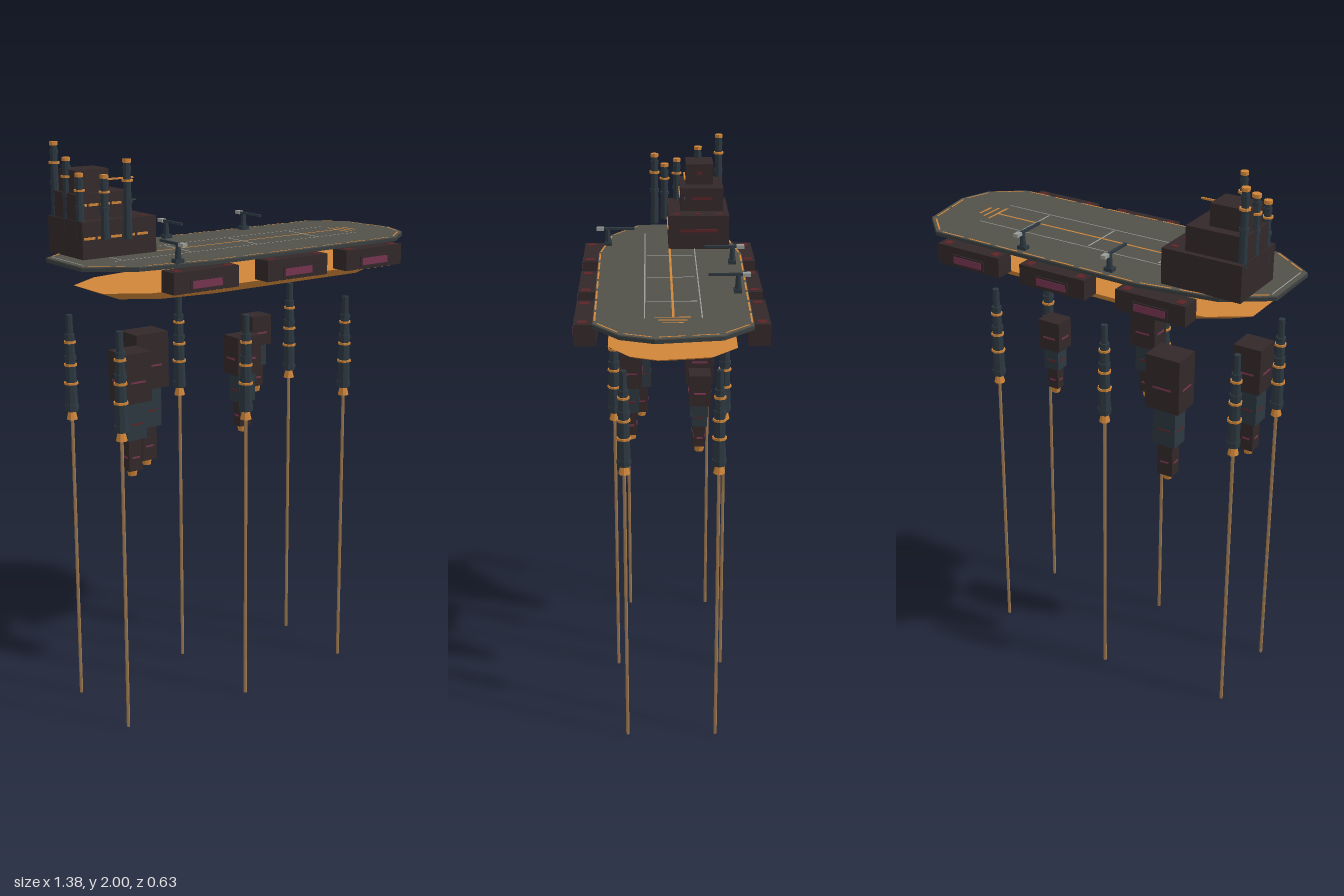
import * as THREE from 'three';

const mat = (name, color) => {
  const m = new THREE.MeshStandardMaterial({ color, flatShading: true });
  m.name = name;
  return m;
};
const M = {
  deck: mat('deck grey', 0x51514a),
  trim: mat('dark trim', 0x3a3e3e),
  block: mat('dark brown', 0x33282a),
  steel: mat('blue steel', 0x2c3840),
  orange: mat('orange', 0xd08538),
  pink: mat('dull magenta', 0x763450),
  red: mat('dark red', 0x5a2428),
  grey: mat('light grey', 0x9a9c98),
  cable: mat('cable brown', 0x9c7850),
};

// Deck outline as [x, z]
const OUTLINE = [[-0.69, -0.115], [-0.54, -0.22], [-0.265, -0.265], [0.56, -0.255], [0.66, -0.155],
  [0.69, 0.055], [0.65, 0.165], [0.54, 0.25], [-0.285, 0.255], [-0.54, 0.215], [-0.69, 0.11]];

function add(parent, name, geo, material, x = 0, y = 0, z = 0) {
  const mesh = new THREE.Mesh(geo, material);
  mesh.name = name;
  mesh.position.set(x, y, z);
  parent.add(mesh);
  return mesh;
}

// Box from its limits
function box(parent, name, material, x0, x1, y0, y1, z0, z1) {
  return add(parent, name, new THREE.BoxGeometry(x1 - x0, y1 - y0, z1 - z0), material,
    (x0 + x1) / 2, (y0 + y1) / 2, (z0 + z1) / 2);
}

// Upright cylinder from y0 to y1
function post(parent, name, material, x, z, y0, y1, r0, r1 = r0, sides = 8) {
  return add(parent, name, new THREE.CylinderGeometry(r1, r0, y1 - y0, sides), material, x, (y0 + y1) / 2, z);
}

// Flat painted strip lying on the deck
function paint(parent, name, material, length, width, x, z, turn = 0) {
  const geo = new THREE.PlaneGeometry(length, width).rotateX(-Math.PI / 2).rotateY(turn);
  return add(parent, name, geo, material, x, 1.6335, z);
}

// Closed slab between two scaled copies of the outline
function slab(y0, y1, bottom, top) {
  const pos = [];
  const p = (i, y, s) => {
    const [x, z] = OUTLINE[i % OUTLINE.length];
    return [x * s[0], y, z * s[1]];
  };
  const b = (i) => p(i, y0, bottom), t = (i) => p(i, y1, top);
  for (let i = 0; i < OUTLINE.length; i++) {
    pos.push(...b(i), ...t(i), ...b(i + 1), ...b(i + 1), ...t(i), ...t(i + 1));
    if (i > 0) pos.push(...t(0), ...t(i + 1), ...t(i), ...b(0), ...b(i), ...b(i + 1));
  }
  const g = new THREE.BufferGeometry();
  g.setAttribute('position', new THREE.Float32BufferAttribute(pos, 3));
  g.computeVertexNormals();
  return g;
}

function makeDeck() {
  const g = new THREE.Group();
  g.name = 'deck';
  add(g, 'deckSlab', slab(1.617, 1.629, [1, 1], [1, 1]), M.trim);
  add(g, 'deckSurface', slab(1.629, 1.632, [0.997, 0.995], [0.997, 0.995]), M.deck);
  add(g, 'lowerHull', slab(1.505, 1.533, [0.77, 0.72], [0.87, 0.82]), M.orange);

  // Painted lines
  const line = (m, x0, x1, z0, z1) => paint(g, 'deckMarking', m, x1 - x0, z1 - z0, (x0 + x1) / 2, (z0 + z1) / 2);
  line(M.orange, -0.33, 0.485, -0.008, 0);
  [[0.48, 0.057], [0.508, 0.046], [0.535, 0.033]].forEach(([x, h]) => line(M.orange, x - 0.004, x + 0.004, -h - 0.002, h - 0.002));
  line(M.grey, -0.33, 0.49, -0.097, -0.093);
  line(M.grey, -0.55, 0.49, 0.085, 0.089);
  [-0.24, 0.037, 0.312].forEach((x) => line(M.grey, x - 0.003, x + 0.003, -0.085, 0.08));
  line(M.grey, -0.521, -0.517, 0, 0.08);
  line(M.grey, -0.672, -0.668, -0.11, 0.095);

  // Dashed orange rim, open at the stern
  for (let i = 0; i < OUTLINE.length - 1; i++) {
    const [a, b] = [OUTLINE[i], OUTLINE[i + 1]].map(([x, z]) => new THREE.Vector2(x * 0.976, z * 0.976));
    const len = a.distanceTo(b), n = Math.max(1, Math.round(len / 0.11));
    for (let k = 0; k < n; k++) {
      const c = a.clone().lerp(b, (k + 0.5) / n);
      paint(g, 'rimDash', M.orange, len / n * 0.8, 0.006, c.x, c.y, -Math.atan2(b.y - a.y, b.x - a.x));
    }
  }
  return g;
}

// Side pod, built facing +z and turned for the far side
function makePod(x, side) {
  const g = new THREE.Group();
  g.name = 'sidePod';
  box(g, 'podBody', M.block, -0.129, 0.129, 1.547, 1.618, 0.24, 0.311);
  box(g, 'podFrame', M.block, -0.066, 0.066, 1.555, 1.592, 0.311, 0.315);
  box(g, 'podWindow', M.pink, -0.058, 0.058, 1.561, 1.586, 0.315, 0.317);
  for (let i = 0; i < 6; i++) {
    const dx = -0.075 + i * 0.03;
    box(g, 'podLamp', M.orange, dx - 0.006, dx + 0.006, 1.544, 1.547, 0.293, 0.304);
  }
  [-0.1, 0.1].forEach((dx) => box(g, 'podHatch', M.red, dx - 0.013, dx + 0.013, 1.618, 1.6195, 0.27, 0.3));
  g.position.x = x;
  if (side < 0) g.rotation.y = Math.PI;
  return g;
}

function makeBridge() {
  const g = new THREE.Group();
  g.name = 'bridge';
  // Tiers, with the number of lit windows along the front
  [[5, -0.617, -0.33, 1.63, 1.755, -0.222, 0], [4, -0.612, -0.405, 1.755, 1.84, -0.203, -0.045],
    [0, -0.602, -0.47, 1.84, 1.915, -0.168, -0.067]].forEach(([n, x0, x1, y0, y1, z0, z1]) => {
    box(g, 'bridgeTier', M.block, x0, x1, y0, y1, z0, z1);
    const y = y0 + (y1 - y0) * 0.56, w = (x1 - x0 - 0.03) / n;
    for (let k = 0; k < n; k++) {
      const c = x0 + w * (k + 0.5);
      box(g, 'bridgeWindow', M.orange, c - w * 0.4, c + w * 0.4, y - 0.004, y + 0.004, z1, z1 + 0.004);
    }
    box(g, 'bridgeSidePanel', M.red, x1, x1 + 0.002, y - 0.006, y + 0.006, z0 + 0.04, z1 - 0.04);
  });
  [-0.19, -0.11, -0.03].forEach((z) => box(g, 'roofHatch', M.red, -0.37, -0.35, 1.755, 1.757, z - 0.01, z + 0.01));
  box(g, 'upperSpar', M.orange, -0.485, -0.38, 1.877, 1.883, -0.063, -0.057);
  box(g, 'lowerSpar', M.trim, -0.45, -0.37, 1.803, 1.808, -0.062, -0.058);

  // Funnels: x, z, bottom, top
  [[-0.603, -0.193, 1.74, 2], [-0.603, -0.115, 1.72, 1.955], [-0.603, -0.035, 1.7, 1.91],
    [-0.537, 0.012, 1.695, 1.905], [-0.473, 0.05, 1.695, 1.955]].forEach(([x, z, y0, y1]) => {
    const h = y1 - y0;
    post(g, 'funnel', M.steel, x, z, y0, y1 - 0.012, 0.015, 0.012);
    post(g, 'funnelCap', M.orange, x, z, y1 - 0.012, y1, 0.0145);
    post(g, 'funnelBand', M.orange, x, z, y0 + h * 0.72, y0 + h * 0.75, 0.019);
    post(g, 'funnelCollar', M.steel, x, z, y0 + h * 0.45, y0 + h * 0.5, 0.017);
    post(g, 'funnelCollar', M.steel, x, z, y1 - 0.04, y1 - 0.025, 0.0145);
  });
  return g;
}

// Deck crane with its jib pointing inboard
function makeCrane(x, side) {
  const g = new THREE.Group();
  g.name = 'deckCrane';
  box(g, 'craneFoot', M.steel, -0.016, 0.016, 1.63, 1.645, 0.21, 0.236);
  post(g, 'cranePost', M.steel, 0, 0.224, 1.645, 1.69, 0.011, 0.008);
  box(g, 'craneJib', M.steel, -0.005, 0.005, 1.689, 1.697, 0.125, 0.238);
  box(g, 'craneCounterweight', M.grey, -0.009, 0.009, 1.687, 1.699, 0.238, 0.265);
  g.position.x = x;
  if (side < 0) g.rotation.y = Math.PI;
  return g;
}

// Drill column with a long cable to the ground
function makeDrill(x, z) {
  const g = new THREE.Group();
  g.name = 'drillColumn';
  post(g, 'cable', M.cable, 0, 0, 0, 1.06, 0.006, 0.006, 6);
  post(g, 'drillNozzle', M.orange, 0, 0, 1.05, 1.08, 0.02, 0.013);
  post(g, 'lowerCasing', M.steel, 0, 0, 1.08, 1.2, 0.023, 0.02);
  post(g, 'middleCasing', M.steel, 0, 0, 1.2, 1.335, 0.02, 0.016);
  post(g, 'upperCasing', M.steel, 0, 0, 1.335, 1.42, 0.013, 0.012);
  [[1.095, 0.025], [1.27, 0.0215], [1.345, 0.018]].forEach(([y, r]) => post(g, 'casingCollar', M.steel, 0, 0, y - 0.008, y + 0.008, r));
  [[1.18, 0.0255], [1.245, 0.0235], [1.325, 0.021]].forEach(([y, r]) => post(g, 'casingBand', M.orange, 0, 0, y - 0.004, y + 0.004, r));
  g.position.set(x, 0, z);
  return g;
}

// Hanging tower: three shrinking blocks with a lamp below
function makeTower({ x, z, levels, widths, depth }) {
  const g = new THREE.Group();
  g.name = 'hangingTower';
  widths.forEach((w, i) => {
    const [top, bottom] = [levels[i], levels[i + 1]], d = depth * w / widths[0], mid = (top + bottom) / 2;
    box(g, 'towerBlock', i === 1 ? M.steel : M.block, -w / 2, w / 2, bottom, top, -d / 2, d / 2);
    const y = mid - (top - bottom) * 0.08, strip = i === 1 ? M.red : M.pink;
    [-1, 1].forEach((s) => {
      add(g, 'towerStrip', new THREE.BoxGeometry(w * 0.55, 0.006, 0.004), strip, 0, y, s * d / 2);
      add(g, 'towerStrip', new THREE.BoxGeometry(0.004, 0.006, d * 0.55), strip, s * w / 2, y, 0);
    });
  });
  const end = levels[3];
  post(g, 'towerLamp', M.orange, 0, 0, end - 0.022, end, 0.015, 0.019);
  g.position.set(x, 0, z);
  return g;
}

export function createModel() {
  const model = new THREE.Group();
  model.name = 'floatingPlatform';
  model.add(makeDeck(), makeBridge());
  [-1, 1].forEach((side) => {
    [-0.343, 0.035, 0.38].forEach((x) => model.add(makePod(x, side)));
    [[-0.585, 0.16], [-0.102, 0.202], [0.383, 0.16]].forEach(([x, z]) => model.add(makeDrill(x, z * side)));
  });
  model.add(makeCrane(-0.395, 1), makeCrane(-0.137, -1), makeCrane(0.21, -1));
  [
    { x: -0.512, z: 0.105, levels: [1.335, 1.165, 1.035, 0.923], widths: [0.105, 0.078, 0.053], depth: 0.1 },
    { x: -0.31, z: -0.115, levels: [1.335, 1.135, 0.99, 0.865], widths: [0.132, 0.088, 0.06], depth: 0.105 },
    { x: -0.07, z: 0.14, levels: [1.335, 1.2, 1.1, 1.01], widths: [0.1, 0.07, 0.048], depth: 0.08 },
    { x: 0.173, z: -0.1, levels: [1.335, 1.225, 1.145, 1.065], widths: [0.086, 0.06, 0.042], depth: 0.075 },
  ].forEach((t) => model.add(makeTower(t)));
  return model;
}
